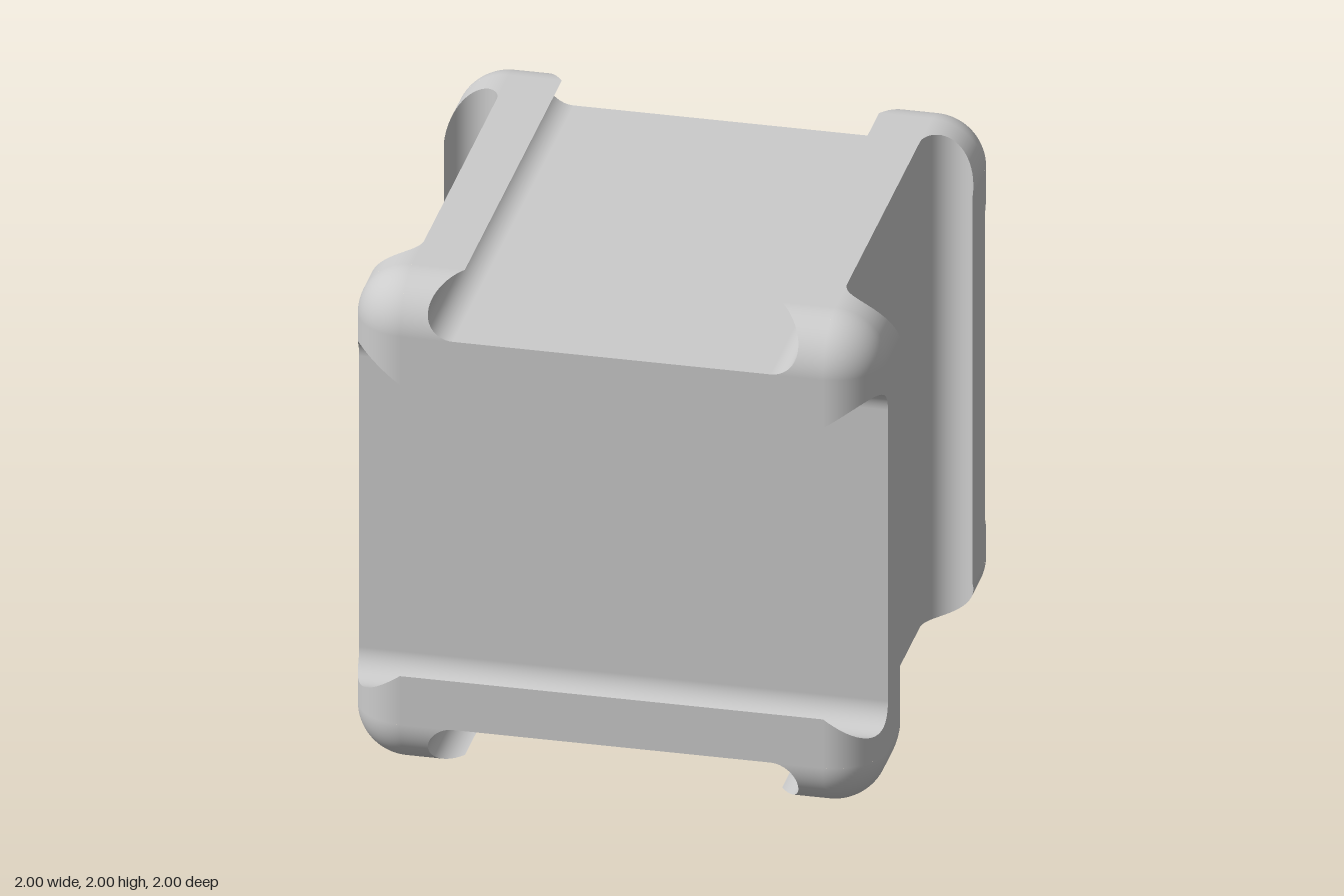
import * as THREE from 'three';

const HALF = 1;              // half side of the cube
const R = 0.2;               // rounding of edges and corners, also the groove depth
const C = HALF - R;          // where the rounding starts
const G = 0.6, GR = 0.1;     // groove: half width of the flat floor, radius of its round sides
const SEG = 24;

// Groove side at angle t: sideways position, height, and where it meets the rounded cube edge
function grooveSide(t) {
  const s = Math.sin(t / 2) ** 2;
  return { across: G + GR * Math.sin(t), up: C + R * s, end: C + R * Math.sqrt(Math.max(0, 1 - s * s)) };
}

// Surfaces of one octant of the +y face (groove runs along z); each gives [point, normal]
const floor = (u, v) => [[u * G, C, v * HALF], [0, 1, 0]];
const rim = (u, v) => [[G + u * (C - G), HALF, v * C], [0, 1, 0]];
const wall = (u, v) => {
  const t = u * Math.PI, p = grooveSide(t);
  return [[p.across, p.up, v * p.end], [-Math.sin(t), Math.cos(t), 0]];
};
const edge = (u, v) => {
  const p = grooveSide(u * Math.PI);
  return [[p.across + v * (C - p.across), p.up, p.end], [0, (p.up - C) / R, (p.end - C) / R]];
};
const corner = (u, v) => {
  const a = u * Math.PI / 2, b = v * Math.PI / 2;
  const n = [Math.cos(b) * Math.cos(a), Math.sin(b), Math.cos(b) * Math.sin(a)];
  return [n.map((c) => C + R * c), n];
};

// Turn the axes cyclically: the +y face becomes +z, then +x
function turn(p, times) {
  for (let i = 0; i < times; i++) p = [p[2], p[0], p[1]];
  return p;
}

// Mesh made of mirrored copies of a surface patch
function patchMesh(name, fn, nu, nv, mirrors, turns, material) {
  const pos = [], nor = [], index = [];
  const a = new THREE.Vector3(), b = new THREE.Vector3(), c = new THREE.Vector3(), n = new THREE.Vector3();
  const addTriangle = (i, j, k) => {
    a.fromArray(pos, i * 3);
    b.fromArray(pos, j * 3).sub(a);
    c.fromArray(pos, k * 3).sub(a);
    b.cross(c);
    if (b.lengthSq() < 1e-16) return;
    n.set(0, 0, 0);
    for (const q of [i, j, k]) n.add(a.fromArray(nor, q * 3));
    if (b.dot(n) > 0) index.push(i, j, k);
    else index.push(i, k, j);
  };
  for (const m of mirrors) {
    const base = pos.length / 3;
    for (let i = 0; i <= nu; i++) for (let j = 0; j <= nv; j++) {
      const [p, q] = fn(i / nu, j / nv).map((w) => turn(w.map((x, k) => x * m[k]), turns));
      pos.push(p[0], p[1] + HALF, p[2]);
      nor.push(...q);
    }
    for (let i = 0; i < nu; i++) for (let j = 0; j < nv; j++) {
      const k = base + i * (nv + 1) + j;
      addTriangle(k, k + nv + 1, k + 1);
      addTriangle(k + 1, k + nv + 1, k + nv + 2);
    }
  }
  const geometry = new THREE.BufferGeometry();
  geometry.setAttribute('position', new THREE.Float32BufferAttribute(pos, 3));
  geometry.setAttribute('normal', new THREE.Float32BufferAttribute(nor, 3));
  geometry.setIndex(index);
  const mesh = new THREE.Mesh(geometry, material);
  mesh.name = name;
  return mesh;
}

export function createModel() {
  const group = new THREE.Group();
  group.name = 'groovedCube';
  const material = new THREE.MeshStandardMaterial({ color: 0xcccccc });
  const signs = [1, -1];

  // Six grooved faces
  const names = [['top', 'bottom'], ['front', 'back'], ['left', 'right']];
  names.forEach((pair, turns) => pair.forEach((name, k) => {
    const face = new THREE.Group();
    face.name = name + 'Face';
    const mirrors = signs.flatMap((x) => signs.map((z) => [x, signs[k], z]));
    face.add(
      patchMesh('grooveFloor', floor, 1, 1, mirrors, turns, material),
      patchMesh('grooveWalls', wall, SEG, 1, mirrors, turns, material),
      patchMesh('rims', rim, 1, 1, mirrors, turns, material),
      patchMesh('roundedEdges', edge, SEG, 1, mirrors, turns, material),
    );
    group.add(face);
  }));

  // Eight ball corners
  const all = signs.flatMap((x) => signs.flatMap((y) => signs.map((z) => [x, y, z])));
  group.add(patchMesh('corners', corner, SEG, SEG, all, 0, material));
  return group;
}
